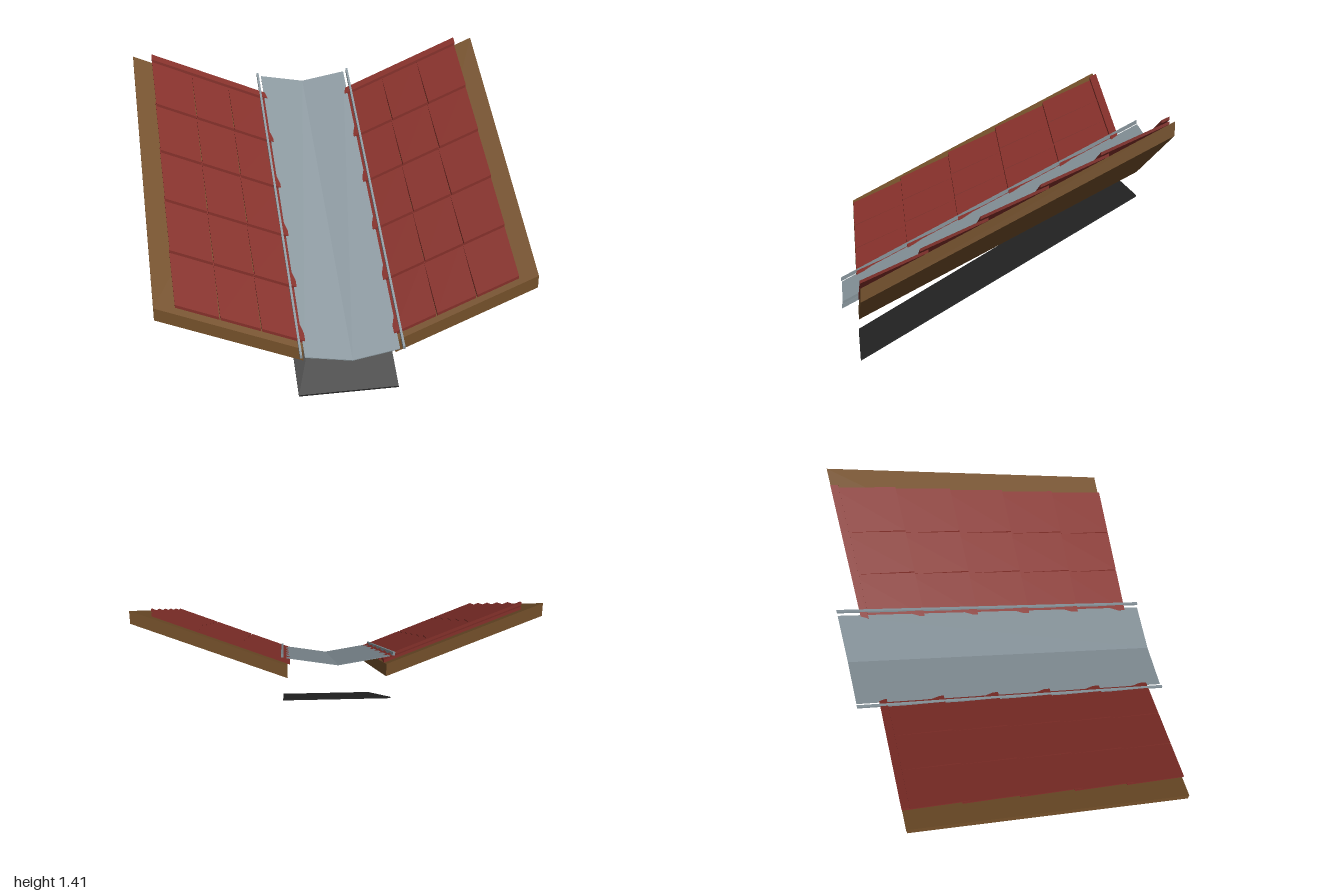
import * as THREE from 'three';

const PITCH = 0.513; // rise per unit towards the back
const CROSS = 0.427; // rise per unit away from the valley

// Height of the deck's upper face
const deckTop = (x, z) => 0.30 + CROSS * (Math.abs(x) - 0.25) + PITCH * (0.77 - z);
// Height of the shallow V of the metal pan
const panTop = (x, z) => 0.26 + 0.18 * Math.abs(x) + 0.5145 * (0.855 - z);

// Box whose corners follow a top and a bottom height rule; taper narrows the front end
function slab(name, material, [x0, x1], [z0, z1], top, bottom, segX = 1, taper = 0) {
  const geo = new THREE.BoxGeometry(1, 1, 1, segX, 1, 1);
  const p = geo.attributes.position;
  for (let i = 0; i < p.count; i++) {
    const front = p.getZ(i) > 0;
    const z = front ? z1 : z0;
    const inset = front ? taper : 0;
    const x = THREE.MathUtils.lerp(x0 + inset, x1 - inset, p.getX(i) + 0.5);
    p.setXYZ(i, x, p.getY(i) > 0 ? top(x, z) : bottom(x, z), z);
  }
  const flat = geo.toNonIndexed();
  flat.computeVertexNormals();
  const mesh = new THREE.Mesh(flat, material);
  mesh.name = name;
  return mesh;
}

export function createModel() {
  const make = (name, color) => new THREE.MeshStandardMaterial({ name, color });
  const wood = make('wood', 0x74502a);
  const tile = make('red shingle', 0x85302a);
  const metal = make('grey metal', 0x86939a);
  const felt = make('black felt', 0x262626);

  const model = new THREE.Group();
  model.name = 'roofValley';

  // Underlay strip below the valley
  const under = (x, z) => 0.58 * (0.765 - z);
  model.add(slab('underlay', felt, [-0.27, 0.27], [-0.745, 0.765],
    (x, z) => under(x, z) + 0.008, under));

  // Shallow V metal pan
  model.add(slab('valleyPan', metal, [-0.25, 0.25], [-0.865, 0.855],
    panTop, (x, z) => panTop(x, z) - 0.004, 2));

  const rowDepth = 0.296;
  const columns = [0.232, 0.46, 0.67, 0.895];

  for (const s of [-1, 1]) {
    const span = (a, b) => (s > 0 ? [a, b] : [-b, -a]);
    const side = new THREE.Group();
    side.name = s > 0 ? 'leftSlope' : 'rightSlope';

    // Sloping deck with vertical edges
    side.add(slab('deck', wood, span(0.245, 1), [-0.75, 0.77],
      deckTop, (x, z) => deckTop(x, z) - 0.07));

    // Raised rib beside the pan
    side.add(slab('panRib', metal, span(0.264, 0.276), [-0.865, 0.86],
      (x, z) => panTop(0.25, z) + 0.02, (x, z) => panTop(0.25, z)));

    // Overlapping courses, each lifted at its front edge
    for (let row = 0; row < 6; row++) {
      const zFront = 0.77 - row * rowDepth;
      const zBack = Math.max(zFront - rowDepth - 0.04, -0.75);
      const top = (x, z) => deckTop(x, z) + 0.056 - 0.08 * (zFront - z);
      const bottom = (x, z) => top(x, z) - 0.016;
      for (let c = 0; c < 3; c++) {
        side.add(slab('shingle', tile, span(columns[c], columns[c + 1]), [zBack, zFront],
          top, bottom, 1, row < 5 ? 0.003 : 0));
      }
    }
    model.add(side);
  }
  return model;
}
